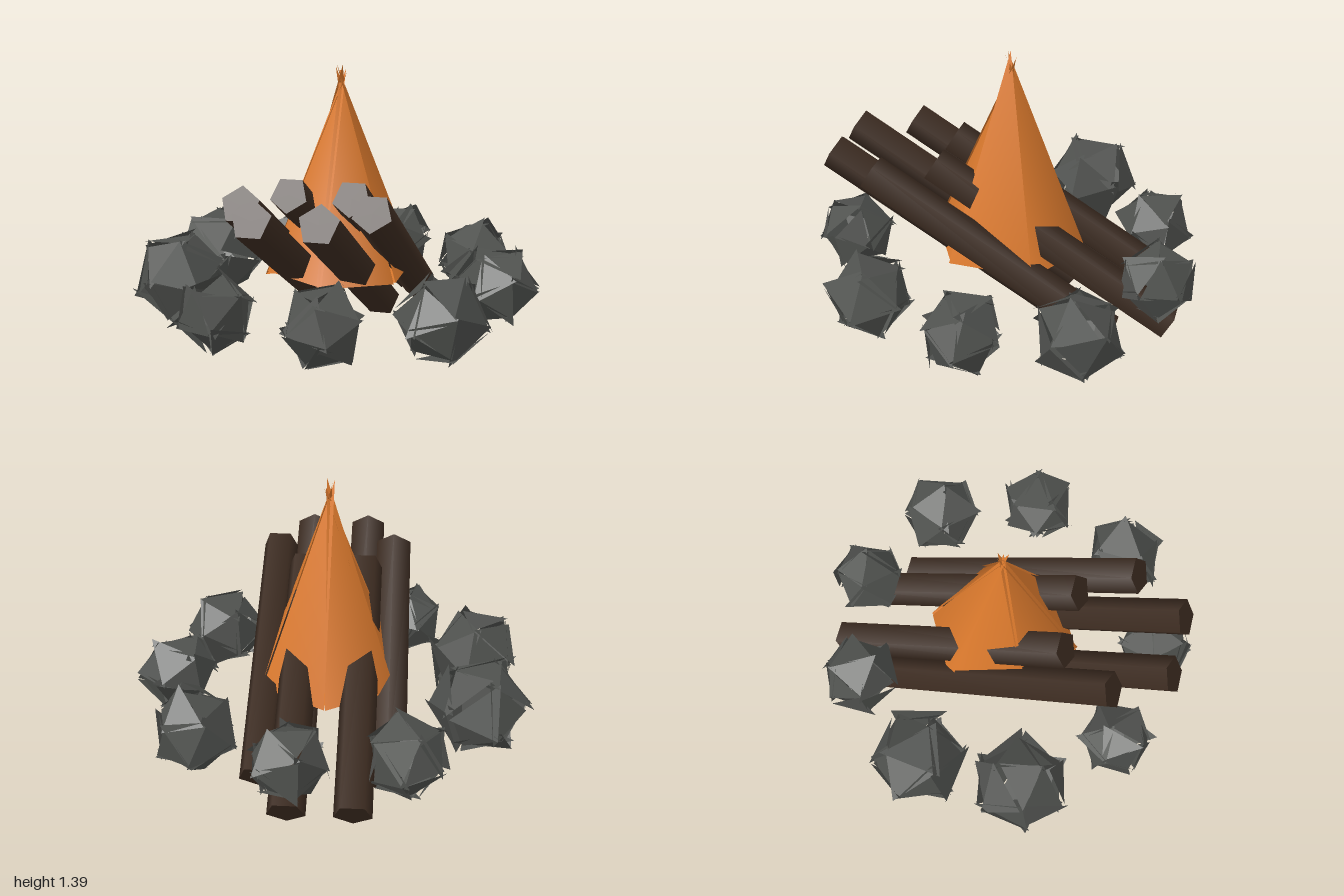
import * as THREE from 'three';

const mat = (name, color, flatShading, side = THREE.FrontSide) => {
  const m = new THREE.MeshStandardMaterial({ color, flatShading, side });
  m.name = name;
  return m;
};

// Seeded random in -1..1
function makeRandom(seed) {
  let s = seed;
  return () => {
    s = (s * 16807) % 2147483647;
    return (s / 2147483647) * 2 - 1;
  };
}

// Icosahedron of loose, slightly oversized faces with jittered corners
function rockGeometry(radius, rnd) {
  const geo = new THREE.IcosahedronGeometry(radius, 0);
  geo.rotateX(rnd() * 3);
  geo.rotateY(rnd() * 3);
  const pos = geo.attributes.position;
  const jitter = radius * 0.12;
  const corner = new THREE.Vector3();
  for (let f = 0; f < pos.count; f += 3) {
    const middle = new THREE.Vector3();
    for (let i = f; i < f + 3; i++) middle.addScaledVector(corner.fromBufferAttribute(pos, i), 1 / 3);
    for (let i = f; i < f + 3; i++) {
      corner.fromBufferAttribute(pos, i).sub(middle).multiplyScalar(1.12).add(middle);
      pos.setXYZ(i, corner.x + rnd() * jitter, corner.y + rnd() * jitter, corner.z + rnd() * jitter);
    }
  }
  geo.center();
  geo.computeVertexNormals();
  return geo;
}

// Six-sided cone of loose faces whose tips cross over the axis, smooth round the side, closed below
function flameGeometry() {
  const rnd = makeRandom(77);
  const verts = [];
  const normals = [];
  const sides = 6;
  const rim = (angle) => [
    Math.sin(angle) * 0.38 + rnd() * 0.01,
    0.345 + rnd() * 0.01,
    Math.cos(angle) * 0.41 + rnd() * 0.01,
  ];
  const outward = (angle) => [Math.sin(angle) * 0.94, 0.34, Math.cos(angle) * 0.94];
  for (let i = 0; i < sides; i++) {
    const mid = ((i + 0.5) / sides) * Math.PI * 2;
    const half = Math.PI / sides + 0.008;
    const a = rim(mid - half);
    const b = rim(mid + half);
    const tip = [
      -Math.sin(mid) * 0.025 + rnd() * 0.012,
      1.37 + rnd() * 0.03,
      -Math.cos(mid) * 0.03 + rnd() * 0.012,
    ];
    verts.push(...a, ...b, ...tip);
    normals.push(...outward(mid - half), ...outward(mid + half), ...outward(mid));
    verts.push(...b, ...a, 0, 0.345, 0);
    normals.push(0, -1, 0, 0, -1, 0, 0, -1, 0);
  }
  const geo = new THREE.BufferGeometry();
  geo.setAttribute('position', new THREE.Float32BufferAttribute(verts, 3));
  geo.setAttribute('normal', new THREE.Float32BufferAttribute(normals, 3));
  return geo;
}

export function createModel() {
  const model = new THREE.Group();
  model.name = 'campfire';
  const stone = mat('stone grey', 0x4f514e, true, THREE.DoubleSide);
  const bark = mat('dark bark', 0x3c2b20, false);
  const fire = mat('fire orange', 0xdc7a2d, false, THREE.DoubleSide);

  const add = (name, geo, material, x = 0, y = 0, z = 0) => {
    const mesh = new THREE.Mesh(geo, material);
    mesh.name = name;
    mesh.position.set(x, y, z);
    model.add(mesh);
  };

  // Ring of stones: x, y, z, radius
  const rnd = makeRandom(4211);
  [
    [-0.755, 0.305, -0.27, 0.24], [-0.755, 0.305, 0.285, 0.24],
    [-0.40, 0.30, -0.69, 0.2], [0.14, 0.31, -0.795, 0.19],
    [0.62, 0.30, -0.52, 0.21], [0.80, 0.31, 0.0, 0.2],
    [0.62, 0.29, 0.53, 0.21], [0.14, 0.31, 0.80, 0.19],
    [-0.41, 0.295, 0.71, 0.19],
  ].forEach(([x, y, z, r]) => add('stone', rockGeometry(r, rnd), stone, x, y, z));

  // Leaning five-sided logs: x, z, spin about own axis
  [
    [-0.16, 0.28, Math.PI], [0.145, 0.28, Math.PI],
    [-0.31, 0.01, Math.PI], [0.315, 0.01, 0],
    [-0.16, -0.26, 0], [0.15, -0.26, 0],
  ].forEach(([x, z, spin]) => {
    const geo = new THREE.CylinderGeometry(0.096, 0.096, 1.42, 5);
    geo.rotateY(spin);
    geo.rotateX(Math.PI / 3);
    add('log', geo, bark, x, 0.432, z);
  });

  // Flame
  add('flame', flameGeometry(), fire);
  return model;
}
